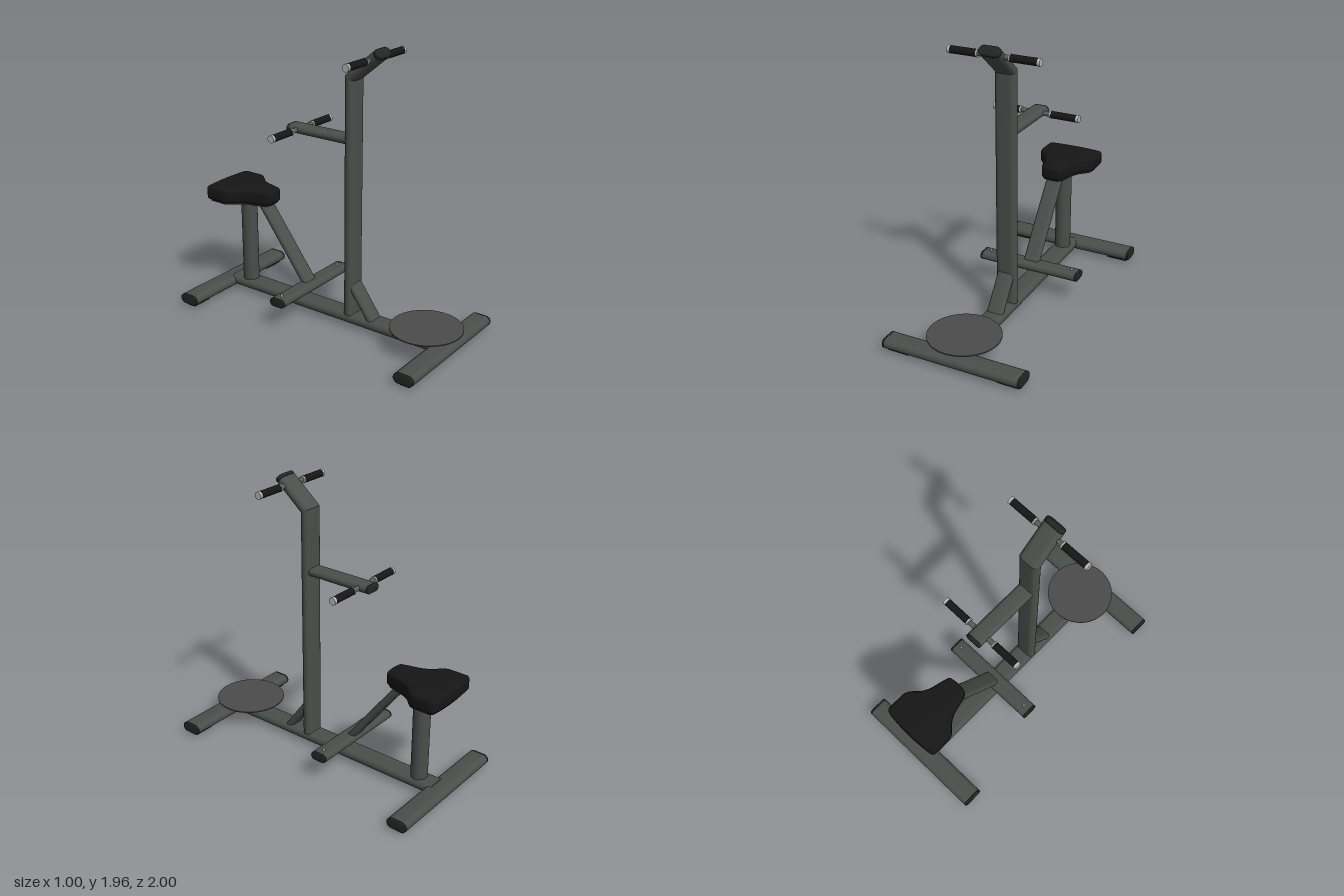
import * as THREE from 'three';
import { toCreasedNormals } from 'three/addons/utils/BufferGeometryUtils.js';

const material = (color) => new THREE.MeshStandardMaterial({ color });
const V = (x, y, z) => new THREE.Vector3(x, y, z);

// Flat-oval tube section, w wide and t thick
function ovalShape(w, t) {
  const r = t / 2, s = w / 2 - r;
  const shape = new THREE.Shape();
  shape.moveTo(-s, -r);
  shape.lineTo(s, -r);
  shape.absarc(s, 0, r, -Math.PI / 2, Math.PI / 2);
  shape.lineTo(-s, r);
  shape.absarc(-s, 0, r, Math.PI / 2, Math.PI * 1.5);
  return shape;
}

// Straight oval tube from a to b; mitre values slant its ends, bevel rounds them
function ovalTube(a, b, w, t, { mitreA = 0, mitreB = 0, bevel = 0 } = {}) {
  const dir = b.clone().sub(a), length = dir.length();
  dir.normalize();
  const geo = new THREE.ExtrudeGeometry(ovalShape(w, t), {
    depth: length - 2 * bevel, curveSegments: 10,
    bevelEnabled: bevel > 0, bevelThickness: bevel, bevelSize: bevel, bevelOffset: -bevel, bevelSegments: 3,
  });
  geo.translate(0, 0, bevel);
  const p = geo.attributes.position;
  for (let i = 0; i < p.count; i++) {
    const k = p.getZ(i) > length / 2 ? mitreB : mitreA;
    p.setZ(i, p.getZ(i) + p.getY(i) * k);
  }
  const wide = Math.abs(dir.x) > 0.5 ? V(0, 0, 1) : V(1, 0, 0);
  const across = dir.clone().cross(wide);
  geo.applyMatrix4(new THREE.Matrix4().makeBasis(wide, across, dir).setPosition(a));
  return toCreasedNormals(geo, 0.6);
}

export function createModel() {
  const model = new THREE.Group();
  const frame = material(0x4a4f4b), black = material(0x161616), cap = material(0x242624);
  const steel = material(0xb8b8b4), rod = material(0x5a5d5a), plate = material(0x4c4c4c);

  const add = (name, geo, mat, parent = model) => {
    const mesh = new THREE.Mesh(geo, mat);
    mesh.name = name;
    parent.add(mesh);
    return mesh;
  };
  // Upright cylinder between two heights
  const post = (name, r, y0, y1, x, z, mat, sides = 32) =>
    add(name, new THREE.CylinderGeometry(r, r, y1 - y0, sides).translate(x, (y0 + y1) / 2, z), mat);
  // Cross bar along x with rounded plugs in both ends
  const crossBar = (name, half, y, z, w, t) => {
    const c = half - 0.016;
    add(name, ovalTube(V(-c, y, z), V(c, y, z), w, t), frame);
    for (const s of [-1, 1])
      add(name + 'EndCap', ovalTube(V(s * c, y, z), V(s * half, y, z), w, t, { bevel: 0.006 }), cap);
  };

  // Base: spine, two cross feet, rubber pads
  add('baseSpine', ovalTube(V(0, 0.062, -0.9), V(0, 0.062, 0.87), 0.15, 0.07), frame);
  for (const z of [0.893, -0.927]) {
    crossBar('baseCrossBar', 0.5, 0.054, z, 0.148, 0.072);
    for (const s of [-1, 1])
      add('footPad', new THREE.BoxGeometry(0.15, 0.02, 0.07).translate(s * 0.4, 0.01, z), cap);
  }

  // Column with its top bent toward the front
  const bend = V(0, 1.755, 0.16), tip = V(0, 1.92, 0.359), end = V(0, 1.938, 0.381);
  const slant = Math.tan(Math.atan2(tip.z - bend.z, tip.y - bend.y) / 2);
  add('column', ovalTube(V(0, 0.09, 0.16), bend, 0.15, 0.07, { mitreB: slant }), frame);
  add('columnHead', ovalTube(bend, tip, 0.15, 0.07, { mitreA: -slant }), frame);
  add('columnHeadCap', ovalTube(tip, end, 0.15, 0.07, { bevel: 0.008 }), cap);
  add('columnBrace', ovalTube(V(0, 0.075, 0.345), V(0, 0.31, 0.175), 0.12, 0.05), frame);

  // Rearward arm
  add('rearArm', ovalTube(V(0, 1.334, 0.15), V(0, 1.334, -0.338), 0.12, 0.056), frame);
  add('rearArmCap', ovalTube(V(0, 1.334, -0.338), V(0, 1.334, -0.356), 0.12, 0.056, { bevel: 0.007 }), cap);

  // Handlebars: rod, then collar, grip and plug on each side
  for (const [name, y, z] of [['upperHandlebar', 1.89, 0.32], ['lowerHandlebar', 1.334, -0.275]]) {
    const bar = new THREE.Group();
    bar.name = name;
    bar.position.set(0, y, z);
    model.add(bar);
    const piece = (part, r, x0, x1, mat) => add(part,
      new THREE.CylinderGeometry(r, r, Math.abs(x1 - x0), 24).rotateZ(Math.PI / 2).translate((x0 + x1) / 2, 0, 0), mat, bar);
    piece('handleRod', 0.017, -0.31, 0.31, rod);
    for (const s of [-1, 1]) {
      piece('gripCollar', 0.026, s * 0.107, s * 0.117, steel);
      piece('grip', 0.025, s * 0.117, s * 0.3, black);
      piece('gripEndPlug', 0.026, s * 0.3, s * 0.318, steel);
    }
  }

  // Turning disc at the front
  post('discHub', 0.055, 0.09, 0.135, 0, 0.755, frame);
  post('discBearing', 0.033, 0.135, 0.152, 0, 0.755, rod);
  post('turningDisc', 0.245, 0.151, 0.159, 0, 0.755, plate, 64);
  for (const z of [0.755, -0.762]) post('spineBolt', 0.022, 0.014, 0.03, 0, z, rod, 6);

  // Seat post, mounting plate and bolts
  post('seatPost', 0.058, 0.09, 0.7, 0, -0.762, frame);
  post('seatPostNeck', 0.032, 0.7, 0.725, 0, -0.762, rod);
  for (const z of [-0.66, -0.855])
    for (const s of [-1, 1]) post('seatBolt', 0.01, 0.705, 0.725, s * 0.07, z, rod, 12);

  // Saddle outline: narrow nose to the front, broad back
  const saddleGeometry = (inset, y0, y1, bevel) => {
    const k = 1 - inset;
    const shape = new THREE.Shape();
    shape.moveTo(-0.06, 0.525);
    shape.quadraticCurveTo(0, 0.512, 0.06, 0.525);
    shape.quadraticCurveTo(0.076, 0.53, 0.082, 0.55);
    shape.bezierCurveTo(0.105, 0.62, 0.105, 0.68, 0.15, 0.735);
    shape.bezierCurveTo(0.185, 0.77, 0.217, 0.79, 0.217, 0.84);
    shape.lineTo(0.217, 0.95);
    shape.quadraticCurveTo(0.217, 0.975, 0.19, 0.981);
    shape.quadraticCurveTo(0, 1.005, -0.19, 0.981);
    shape.quadraticCurveTo(-0.217, 0.975, -0.217, 0.95);
    shape.lineTo(-0.217, 0.84);
    shape.bezierCurveTo(-0.217, 0.79, -0.185, 0.77, -0.15, 0.735);
    shape.bezierCurveTo(-0.105, 0.68, -0.105, 0.62, -0.082, 0.55);
    shape.quadraticCurveTo(-0.076, 0.53, -0.06, 0.525);
    const geo = new THREE.ExtrudeGeometry(shape, {
      depth: y1 - y0 - 2 * bevel, curveSegments: 8, bevelEnabled: bevel > 0,
      bevelThickness: bevel, bevelSize: bevel, bevelOffset: -bevel, bevelSegments: 4,
    });
    geo.translate(0, -0.755, bevel).scale(k, k, 1).translate(0, 0.755, 0);
    geo.rotateX(-Math.PI / 2).translate(0, y0, 0);
    return toCreasedNormals(geo, 0.7);
  };
  add('seatPlate', saddleGeometry(0.08, 0.72, 0.732, 0), cap);
  add('seatCushion', saddleGeometry(0, 0.729, 0.832, 0.024), black);

  // Diagonal strut carrying the footrest
  add('seatStrut', ovalTube(V(0, 0.195, -0.207), V(0, 0.722, -0.607), 0.12, 0.05), frame);
  crossBar('footrest', 0.38, 0.196, -0.205, 0.122, 0.06);
  for (const s of [-1, 1]) post('footrestBolt', 0.009, 0.22, 0.243, s * 0.32, -0.207, steel, 12);

  return model;
}
